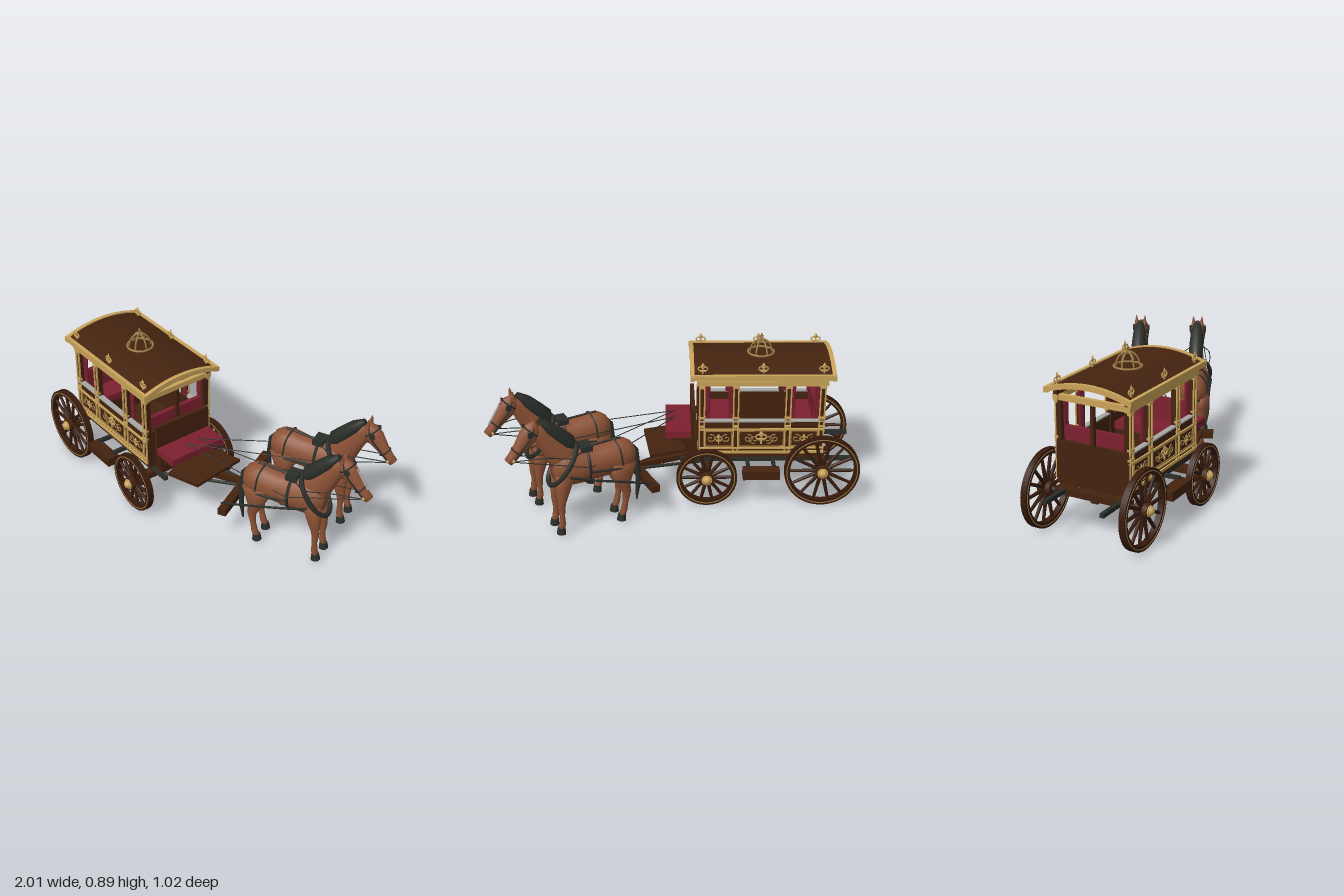
import * as THREE from 'three';

const mat = (name, color) => Object.assign(new THREE.MeshStandardMaterial({ color }), { name });
const wood = mat('dark wood', 0x44230f), rimWood = mat('wheel wood', 0x371a0c), gold = mat('gold', 0xc9a35a),
  brass = mat('old brass', 0x9a7a42), red = mat('red velvet', 0x7d2030), hide = mat('chestnut hide', 0x8c5235),
  black = mat('black leather', 0x2a2e28), silver = mat('silver', 0xa8a8a4);
const V = (x, y, z) => new THREE.Vector3(x, y, z);
const CZ = 0.19;        // carriage centre line
const TURN = 0.42;      // horses and pole turn away from the carriage axis

function add(parent, name, geo, m, x = 0, y = 0, z = 0) {
  const mesh = new THREE.Mesh(geo, m);
  mesh.name = name;
  mesh.position.set(x, y, z);
  parent.add(mesh);
  return mesh;
}
const box = (p, name, m, w, h, d, x, y, z) => add(p, name, new THREE.BoxGeometry(w, h, d), m, x, y, z);
function rod(p, name, m, a, b, r, r2 = r, sides = 8) {
  const dir = b.clone().sub(a);
  const mesh = add(p, name, new THREE.CylinderGeometry(r2, r, dir.length(), sides), m);
  mesh.position.copy(a).add(b).multiplyScalar(0.5);
  mesh.quaternion.setFromUnitVectors(V(0, 1, 0), dir.normalize());
  return mesh;
}
const tube = (p, name, m, pts, r, closed = false, seg = 24) =>
  add(p, name, new THREE.TubeGeometry(new THREE.CatmullRomCurve3(pts, closed), seg, r, 6, closed), m);

// Smooth skin over oval sections [x, y, radius in plane, radius across] along a path in the xy plane
function loft(p, name, m, secs, z = 0, sides = 14) {
  const n = secs.length, pos = [], idx = [];
  const rings = [[0, 0], ...secs.map((_, i) => [i, 1]), [n - 1, 0]];
  for (const [i, k] of rings) {
    const [x, y, rh, rw] = secs[i], a = secs[Math.max(i - 1, 0)], b = secs[Math.min(i + 1, n - 1)];
    const l = Math.hypot(b[0] - a[0], b[1] - a[1]), nx = -(b[1] - a[1]) / l, ny = (b[0] - a[0]) / l;
    for (let j = 0; j < sides; j++) {
      const t = j / sides * Math.PI * 2, c = Math.cos(t) * rh * k;
      pos.push(x + nx * c, y + ny * c, Math.sin(t) * rw * k);
    }
  }
  for (let i = 0; i < rings.length - 1; i++) for (let j = 0; j < sides; j++) {
    const a = i * sides + j, b = i * sides + (j + 1) % sides;
    idx.push(a, b, a + sides, b, b + sides, a + sides);
  }
  const g = new THREE.BufferGeometry();
  g.setAttribute('position', new THREE.Float32BufferAttribute(pos, 3));
  g.setIndex(idx);
  g.computeVertexNormals();
  return add(p, name, g, m, 0, 0, z);
}

function ring(ro, ri, depth) {
  const s = new THREE.Shape().absarc(0, 0, ro, 0, Math.PI * 2);
  s.holes.push(new THREE.Path().absarc(0, 0, ri, 0, Math.PI * 2, true));
  return new THREE.ExtrudeGeometry(s, { depth, bevelEnabled: false, curveSegments: 32 }).translate(0, 0, -depth / 2);
}
function wheel(p, name, x, y, z, r, out) {
  const g = new THREE.Group();
  g.name = name;
  g.position.set(x, y, z);
  add(g, 'rim', ring(r, r - 0.03, 0.032), rimWood);
  add(g, 'rimInlay', ring(r - 0.011, r - 0.016, 0.036), brass);
  for (let i = 0; i < 14; i++) {
    const t = i / 14 * Math.PI * 2, c = Math.cos(t), s = Math.sin(t);
    rod(g, 'spoke', rimWood, V(c * 0.02, s * 0.02, 0), V(c * (r - 0.02), s * (r - 0.02), 0), 0.011, 0.008);
  }
  rod(g, 'hub', wood, V(0, 0, -0.035), V(0, 0, 0.035), 0.036, 0.036, 16);
  rod(g, 'hubCap', gold, V(0, 0, out * 0.02), V(0, 0, out * 0.04), 0.034, 0.028, 16);
  add(g, 'hubKnob', new THREE.SphereGeometry(0.024, 12, 8), gold, 0, 0, out * 0.036);
  p.add(g);
}
// Three-petalled finial facing z
function finial(p, x, y, z, k = 1) {
  const g = new THREE.Group();
  g.name = 'finial';
  g.position.set(x, y, z);
  g.scale.setScalar(k);
  box(g, 'stem', gold, 0.008, 0.05, 0.008, 0, 0.02, 0);
  box(g, 'band', gold, 0.034, 0.008, 0.012, 0, 0.02, 0);
  const bud = add(g, 'bud', new THREE.OctahedronGeometry(0.012), gold, 0, 0.05, 0);
  bud.scale.set(1, 1.8, 0.6);
  for (const s of [-1, 1]) add(g, 'petal', new THREE.TorusGeometry(0.011, 0.004, 6, 12, 4.4), gold, s * 0.015, 0.033, 0).rotation.z = s > 0 ? -1.6 : 0.4;
  p.add(g);
}
function scroll(p, x, y, z, sx, sy) {
  const pts = [];
  for (let i = 0; i <= 14; i++) {
    const t = i / 14 * 8, r = 0.004 + 0.0032 * t;
    pts.push(V(x + sx * Math.cos(t) * r, y + sy * Math.sin(t) * r * 0.85, z));
  }
  tube(p, 'scroll', brass, pts, 0.0035, false, 30);
}
// Curved roof slab along x
function arch(half, edge, peak, thick, len) {
  const s = new THREE.Shape(), f = u => edge + (peak - edge) * (1 - u * u);
  for (let i = 0; i <= 16; i++) { const u = i / 8 - 1; s[i ? 'lineTo' : 'moveTo'](u * half, f(u)); }
  for (let i = 16; i >= 0; i--) { const u = i / 8 - 1; s.lineTo(u * half, f(u) - thick); }
  return new THREE.ExtrudeGeometry(s, { depth: len, bevelEnabled: false }).translate(0, 0, -len / 2).rotateY(Math.PI / 2);
}

function carriage() {
  const g = new THREE.Group();
  g.name = 'carriage';
  // Undercarriage
  for (const [x, y, r, n] of [[-0.79, 0.215, 0.205, 'rearWheel'], [-0.165, 0.175, 0.165, 'frontWheel']]) {
    for (const s of [-1, 1]) wheel(g, n, x, y, CZ + s * 0.275, r, s);
    rod(g, 'axle', black, V(x, y, -0.1), V(x, y, 0.48), 0.014);
    box(g, 'axleBeam', wood, 0.05, 0.035, 0.42, x, y + 0.01, CZ);
  }
  for (const s of [-1, 1]) {
    box(g, 'rail', black, 0.96, 0.022, 0.022, -0.5, 0.23, CZ + s * 0.16);
    for (const x of [-0.72, -0.22]) box(g, 'railBlock', wood, 0.06, 0.04, 0.03, x, 0.255, CZ + s * 0.16);
    box(g, 'step', wood, 0.2, 0.05, 0.07, -0.46, 0.2, CZ + s * 0.275);
    for (const x of [-0.53, -0.39]) box(g, 'stepBracket', black, 0.02, 0.02, 0.12, x, 0.23, CZ + s * 0.2);
  }
  box(g, 'perch', wood, 0.62, 0.03, 0.04, -0.48, 0.2, CZ);
  box(g, 'floor', wood, 0.68, 0.03, 0.4, -0.46, 0.275, CZ);
  // Side walls, windows and gilding
  for (const s of [-1, 1]) {
    const z = d => CZ + s * (0.2 + d);
    box(g, 'sidePanel', wood, 0.68, 0.19, 0.02, -0.46, 0.38, z(-0.005));
    for (const [y, h] of [[0.295, 0.014], [0.32, 0.008], [0.432, 0.01]]) box(g, 'sideMoulding', gold, 0.68, h, 0.016, -0.46, y, z(0.006));
    box(g, 'sill', silver, 0.66, 0.008, 0.03, -0.46, 0.479, z(-0.005));
    box(g, 'sideCornice', gold, 0.7, 0.03, 0.03, -0.46, 0.705, z(0));
    box(g, 'roofBeam', wood, 0.7, 0.04, 0.024, -0.46, 0.738, z(-0.002));
    for (const x of [-0.782, -0.6, -0.32, -0.138]) {
      box(g, 'post', wood, 0.03, 0.42, 0.03, x, 0.49, z(-0.01));
      for (const e of [-1, 1]) box(g, 'postTrim', gold, 0.008, 0.4, 0.008, x + e * 0.013, 0.5, z(0.008));
      for (const y of [0.45, 0.5, 0.68]) box(g, 'postBand', gold, 0.036, 0.012, 0.02, x, y, z(0.004));
    }
    for (const [x, w] of [[-0.691, 0.14], [-0.46, 0.24], [-0.229, 0.14]]) {
      for (const e of [-1, 1]) {
        box(g, 'panelFrame', brass, w, 0.006, 0.008, x, 0.376 + e * 0.046, z(0.007));
        box(g, 'panelFrame', brass, 0.006, 0.098, 0.008, x + e * w / 2, 0.376, z(0.007));
        scroll(g, x + e * w * 0.3, 0.376, z(0.008), -e, 1);
        if (w > 0.2) scroll(g, x + e * 0.038, 0.37, z(0.008), e, -1);
      }
      finial(g, x, 0.35, z(0.008), w > 0.2 ? 1.1 : 0.8);
    }
    // Gathered curtains
    for (const x of [-0.757, -0.62, -0.298, -0.163]) for (let i = -1; i <= 1; i++)
      rod(g, 'curtain', red, V(x + i * 0.01, 0.485, z(-0.025)), V(x + i * 0.012, 0.695, z(-0.025)), 0.007, 0.009);
    box(g, 'roofFascia', gold, 0.77, 0.028, 0.02, -0.46, 0.748, z(0.032));
    for (const x of [-0.78, -0.46, -0.14]) finial(g, x, 0.757, z(0.005), 0.95);
  }
  // End walls
  for (const x of [-0.79, -0.13]) {
    box(g, 'endPanel', wood, 0.02, 0.2, 0.4, x, 0.385, CZ);
    box(g, 'endPost', wood, 0.02, 0.22, 0.02, x, 0.59, CZ);
    box(g, 'endCornice', gold, 0.024, 0.03, 0.42, x, 0.705, CZ);
  }
  // Cabin seats
  for (const s of [-1, 1]) {
    box(g, 'seatBase', wood, 0.14, 0.1, 0.35, -0.46 + s * 0.24, 0.34, CZ);
    box(g, 'seatCushion', red, 0.15, 0.04, 0.35, -0.46 + s * 0.235, 0.41, CZ);
    box(g, 'seatBack', red, 0.025, 0.14, 0.34, -0.46 + s * 0.3, 0.485, CZ);
  }
  // Roof with crown
  add(g, 'roof', arch(0.235, 0.752, 0.798, 0.016, 0.75), wood, -0.46, 0, CZ);
  for (const x of [-0.835, -0.085]) add(g, 'roofRim', arch(0.243, 0.757, 0.803, 0.026, 0.022), gold, x, 0, CZ);
  const crown = new THREE.Group();
  crown.name = 'crown';
  crown.position.set(-0.46, 0.8, CZ);
  add(crown, 'crownBase', new THREE.TorusGeometry(0.07, 0.006, 8, 32), brass).rotation.x = Math.PI / 2;
  for (let i = 0; i < 3; i++) {
    const hoop = add(crown, 'crownHoop', new THREE.TorusGeometry(0.065, 0.005, 8, 20, Math.PI), brass);
    hoop.rotation.y = i * Math.PI / 3;
    hoop.scale.set(0.9, 1.12, 1);
  }
  rod(crown, 'crownSpire', brass, V(0, 0.06, 0), V(0, 0.105, 0), 0.004);
  box(crown, 'crownCross', brass, 0.024, 0.006, 0.006, 0, 0.09, 0);
  g.add(crown);
  // Driver's seat
  box(g, 'driverBack', wood, 0.022, 0.2, 0.34, -0.092, 0.43, CZ);
  box(g, 'driverCushion', red, 0.14, 0.04, 0.34, -0.012, 0.38, CZ);
  box(g, 'driverBase', wood, 0.11, 0.02, 0.32, -0.03, 0.35, CZ);
  box(g, 'driverBox', wood, 0.05, 0.11, 0.32, -0.09, 0.3, CZ);
  for (const s of [-1, 1]) rod(g, 'seatBrace', wood, V(-0.08, 0.27, CZ + s * 0.13), V(-0.02, 0.35, CZ + s * 0.13), 0.012);
  const f = new THREE.Shape([[-0.1, 0.06], [0.14, -0.03], [0.18, 0.29], [0.0, 0.35]].map(a => new THREE.Vector2(...a)));
  add(g, 'footboard', new THREE.ExtrudeGeometry(f, { depth: 0.018, bevelEnabled: false }).rotateX(Math.PI / 2), wood, 0, 0.282, 0);
  // Pole and draw bar
  const pole = new THREE.Group();
  pole.name = 'drawPole';
  pole.position.set(-0.165, 0.19, CZ + 0.01);
  pole.rotation.y = TURN + 0.03;
  box(pole, 'pole', wood, 0.92, 0.03, 0.032, 0.46, 0.008, 0).rotation.z = 0.025;
  box(pole, 'drawBar', wood, 0.045, 0.04, 0.57, 0.44, 0.005, 0);
  for (const s of [-1, 1]) rod(pole, 'poleBrace', black, V(0, 0, s * 0.12), V(0.4, 0, s * 0.03), 0.009);
  g.add(pole);
  return g;
}

function horse(x, z, nosePlate) {
  const g = new THREE.Group();
  g.name = 'horse';
  g.position.set(x, 0, z);
  g.rotation.y = TURN;
  loft(g, 'body', hide, [[-0.272, 0.4, 0.03, 0.03], [-0.26, 0.4, 0.06, 0.055], [-0.225, 0.397, 0.087, 0.075], [-0.17, 0.395, 0.095, 0.082],
    [-0.08, 0.383, 0.088, 0.076], [0, 0.378, 0.095, 0.078], [0.08, 0.385, 0.103, 0.08], [0.14, 0.39, 0.09, 0.07], [0.18, 0.39, 0.055, 0.045]], 0, 20);
  loft(g, 'neck', hide, [[0.08, 0.4, 0.09, 0.055], [0.13, 0.47, 0.083, 0.047], [0.18, 0.54, 0.064, 0.039], [0.225, 0.6, 0.05, 0.032], [0.262, 0.65, 0.034, 0.027]]);
  loft(g, 'head', hide, [[0.252, 0.668, 0.02, 0.022], [0.27, 0.643, 0.044, 0.036], [0.3, 0.605, 0.05, 0.039], [0.345, 0.55, 0.035, 0.03],
    [0.385, 0.505, 0.027, 0.025], [0.41, 0.48, 0.024, 0.024]]);
  loft(g, 'mane', black, [[0.065, 0.49, 0.02, 0.025], [0.09, 0.525, 0.045, 0.042], [0.14, 0.577, 0.042, 0.04], [0.19, 0.63, 0.036, 0.036], [0.238, 0.675, 0.018, 0.02]]);
  loft(g, 'tail', black, [[-0.262, 0.43, 0.012, 0.012], [-0.285, 0.4, 0.014, 0.014], [-0.295, 0.3, 0.014, 0.016], [-0.295, 0.19, 0.013, 0.016], [-0.285, 0.1, 0.004, 0.006]]);
  for (const s of [-1, 1]) {
    loft(g, 'frontLeg', hide, [[0.13, 0.36, 0.05, 0.035], [0.145, 0.28, 0.038, 0.03], [0.155, 0.21, 0.023, 0.021], [0.157, 0.185, 0.02, 0.02],
      [0.155, 0.13, 0.014, 0.014], [0.156, 0.085, 0.018, 0.017], [0.163, 0.055, 0.017, 0.018]], s * 0.052);
    loft(g, 'hindLeg', hide, [[-0.19, 0.37, 0.075, 0.045], [-0.185, 0.3, 0.06, 0.038], [-0.195, 0.235, 0.034, 0.027], [-0.208, 0.195, 0.025, 0.02],
      [-0.2, 0.135, 0.015, 0.015], [-0.19, 0.085, 0.018, 0.017], [-0.178, 0.055, 0.017, 0.018]], s * 0.052);
    for (const hx of [0.165, -0.175]) rod(g, 'hoof', black, V(hx, 0.028, s * 0.052), V(hx - 0.003, 0.064, s * 0.052), 0.025, 0.02, 12);
    rod(g, 'ear', hide, V(0.262, 0.66, s * 0.022), V(0.268, 0.712, s * 0.026), 0.015, 0.002);
    add(g, 'eye', new THREE.SphereGeometry(0.007, 8, 6), black, 0.305, 0.62, s * 0.036);
    // Bridle and harness on each side
    box(g, 'blinker', black, 0.028, 0.03, 0.006, 0.298, 0.63, s * 0.046);
    tube(g, 'cheekStrap', black, [V(0.265, 0.68, s * 0.02), V(0.29, 0.62, s * 0.041), V(0.345, 0.545, s * 0.033), V(0.385, 0.495, s * 0.028)], 0.004);
    add(g, 'bit', new THREE.SphereGeometry(0.009, 8, 6), gold, 0.388, 0.492, s * 0.028);
    tube(g, 'breeching', black, [V(0, 0.37, s * 0.083), V(-0.15, 0.36, s * 0.089), V(-0.23, 0.36, s * 0.078), V(-0.28, 0.36, 0)], 0.006);
    tube(g, 'hipStrap', black, [V(-0.16, 0.495, 0), V(-0.17, 0.46, s * 0.063), V(-0.18, 0.36, s * 0.088)], 0.005);
    tube(g, 'trace', black, [V(0.12, 0.37, s * 0.092), V(0, 0.325, s * 0.086), V(-0.2, 0.27, s * 0.09), V(-0.38, 0.205, s * 0.07)], 0.006);
    tube(g, 'bearingRein', black, [V(0.388, 0.492, s * 0.03), V(0.23, 0.5, s * 0.075), V(0.09, 0.47, s * 0.075), V(0, 0.49, s * 0.03)], 0.003);
  }
  const loop = (name, cx, cy, ux, uy, w, r) => tube(g, name, black, Array.from({ length: 12 }, (_, i) => {
    const t = i / 6 * Math.PI;
    return V(cx + ux * Math.cos(t), cy + uy * Math.cos(t), w * Math.sin(t));
  }), r, true, 32);
  loop('collar', 0.125, 0.41, -0.075, 0.105, 0.085, 0.013);
  loop('girth', 0, 0.378, 0, 0.098, 0.081, 0.008);
  loop('noseband', 0.362, 0.53, 0.024, 0.022, 0.031, 0.004);
  loop('browband', 0.285, 0.635, 0.037, 0.033, 0.04, 0.004);
  box(g, 'harnessPad', black, 0.06, 0.03, 0.085, 0, 0.482, 0);
  rod(g, 'backStrap', black, V(0, 0.478, 0), V(-0.2, 0.492, 0), 0.006);
  if (nosePlate) rod(g, 'noseStripe', silver, V(0.335, 0.638, 0), V(0.4, 0.535, 0), 0.006);
  return g;
}

export function createModel() {
  const model = new THREE.Group();
  model.name = 'carriageWithHorses';
  model.add(carriage());
  // Pair of horses with reins back to the driver
  const c = Math.cos(TURN), n = Math.sin(TURN);
  for (const [x, z, plate] of [[0.62, 0.007, true], [0.475, -0.302, false]]) {
    model.add(horse(x, z, plate));
    const at = (s, y, t) => V(x + s * c + t * n, y, z - s * n + t * c);
    for (const s of [-1, 1]) {
      const hand = V(0.01, 0.425, CZ + s * 0.04), pad = at(0, 0.4, s * 0.088);
      rod(model, 'rein', black, hand, pad, 0.0025);
      rod(model, 'rein', black, pad, at(0.388, 0.492, s * 0.034), 0.0025);
    }
  }
  return model;
}
